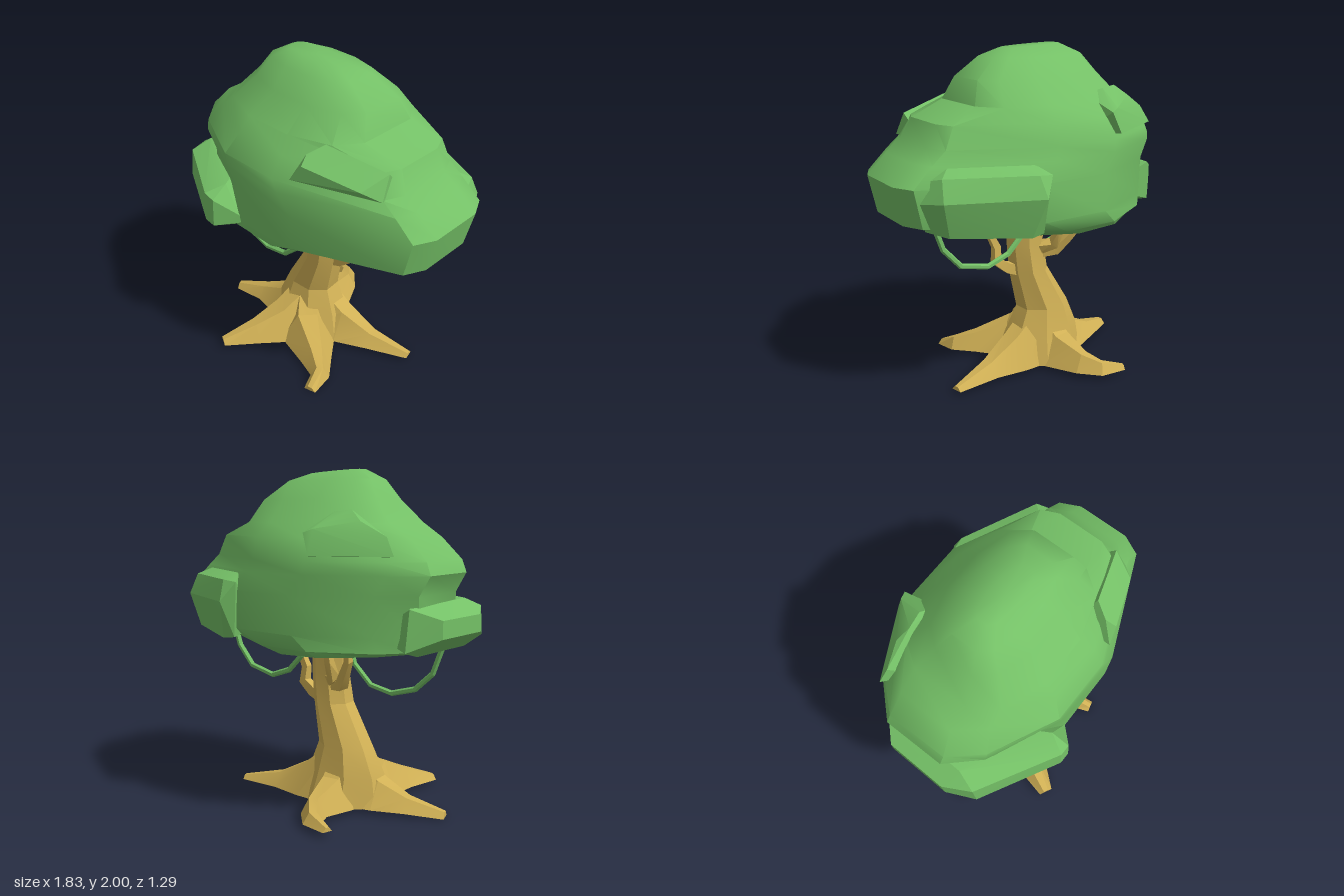
import * as THREE from 'three';
import { toCreasedNormals } from 'three/addons/utils/BufferGeometryUtils.js';
import { ConvexGeometry } from 'three/addons/geometries/ConvexGeometry.js';

const leaf = new THREE.MeshStandardMaterial({ color: 0x74c066 });
const wood = new THREE.MeshStandardMaterial({ color: 0xd0b055 });
const V = (x, y, z) => new THREE.Vector3(x, y, z);

// Skin a list of closed rings (equal point counts) and cap both ends
function loft(rings, crease) {
  const n = rings[0].length, pos = [], idx = [];
  rings.forEach(r => r.forEach(p => pos.push(p.x, p.y, p.z)));
  for (let i = 0; i < rings.length - 1; i++) {
    for (let j = 0; j < n; j++) {
      const a = i * n + j, b = i * n + (j + 1) % n;
      idx.push(a, a + n, b + n, a, b + n, b);
    }
  }
  [0, rings.length - 1].forEach((i, top) => {
    const c = V(0, 0, 0);
    rings[i].forEach(p => c.addScaledVector(p, 1 / n));
    const k = pos.length / 3;
    pos.push(c.x, c.y, c.z);
    for (let j = 0; j < n; j++) {
      const a = i * n + j, b = i * n + (j + 1) % n;
      if (top) idx.push(k, b, a); else idx.push(k, a, b);
    }
  });
  const g = new THREE.BufferGeometry();
  g.setAttribute('position', new THREE.Float32BufferAttribute(pos, 3));
  g.setIndex(idx);
  return toCreasedNormals(g, crease);
}

// Angular tube along a polyline, with a radius per point
function sweep(path, radius, sides) {
  const rings = path.map((p, i) => {
    const t = path[Math.min(i + 1, path.length - 1)].clone().sub(path[Math.max(i - 1, 0)]).normalize();
    const nrm = V(0, 0, 1).addScaledVector(t, -t.z).normalize();
    const bin = nrm.clone().cross(t);
    return Array.from({ length: sides }, (_, j) => {
      const a = (j + 0.5) / sides * Math.PI * 2;
      return p.clone().addScaledVector(nrm, Math.cos(a) * radius(i)).addScaledVector(bin, Math.sin(a) * radius(i));
    });
  });
  return loft(rings, 0.3);
}

// Root: tapering ridge from the trunk foot out along the ground
function root(points) {
  const rings = points.map(([x, z, half, h, floor], i) => {
    const a = points[Math.max(i - 1, 0)], b = points[Math.min(i + 1, points.length - 1)];
    const t = V(b[0] - a[0], 0, b[1] - a[1]).normalize();
    const side = V(0, 1, 0).cross(t);
    return [[0.35, h], [1, floor], [-1, floor], [-0.35, h]]
      .map(([s, y]) => V(x, y, z).addScaledVector(side, s * half));
  });
  return loft(rings, 0.25);
}

// Mirror half an outline in z to close it
const mirrored = half => [...half, ...half.map(([x, z]) => [x, -z]).reverse()];

export function createModel() {
  const tree = new THREE.Group();
  const add = (name, geometry, material) => {
    const m = new THREE.Mesh(geometry, material);
    m.name = name;
    tree.add(m);
  };

  // Crown: stacked twelve-sided sections [y, left x, right x, back z, front z],
  // chamfered below and rounder in the dome
  const lower = mirrored([[1, 0.3], [0.93, 0.52], [0.2, 1], [-0.3, 1], [-0.8, 0.66], [-1, 0.34]]);
  const dome = mirrored([[1, 0.46], [0.8, 0.8], [0.3, 1], [-0.3, 1], [-0.8, 0.78], [-1, 0.42]]);
  const sections = [
    [0.98, -0.7, 0.34, -0.5, 0.44], [1.02, -0.77, 0.58, -0.54, 0.51],
    [1.1, -0.79, 0.86, -0.56, 0.53], [1.32, -0.79, 0.91, -0.57, 0.53],
    [1.43, -0.85, 0.79, -0.55, 0.53], [1.5, -0.82, 0.7, -0.54, 0.53],
    [1.62, -0.71, 0.64, -0.5, 0.46], [1.7, -0.58, 0.42, -0.42, 0.385],
    [1.83, -0.46, 0.37, -0.3, 0.26], [1.94, -0.38, 0.23, -0.19, 0.17], [2.0, -0.26, 0.11, -0.07, 0.08],
  ];
  const crownRings = sections.map(([y, x0, x1, z0, z1], i) => (i < 7 ? lower : dome).map(([u, v]) => {
    const tilt = i === 0 ? -0.02 * u : i === 10 ? -0.008 * (u + 1) : 0;
    return V((x0 + x1) / 2 + u * (x1 - x0) / 2, y + tilt, (z0 + z1) / 2 + v * (z1 - z0) / 2);
  }));
  add('crown', loft(crownRings, 0.66), leaf);

  // Leaf clumps pushing out of the crown
  const clumps = {
    frontLowerClump: [
      [-0.78, 1.0, -0.2], [-0.79, 1.0, 0.28], [-0.38, 1.02, 0.59], [-0.22, 1.04, 0.5], [-0.77, 1.03, -0.3],
      [-0.91, 1.1, -0.16], [-0.92, 1.1, 0.23], [-0.84, 1.06, 0.39], [-0.38, 1.06, 0.64], [-0.31, 1.05, 0.64], [-0.2, 1.07, 0.53],
      [-0.91, 1.2, -0.16], [-0.92, 1.2, 0.21], [-0.84, 1.23, 0.37], [-0.38, 1.24, 0.63], [-0.31, 1.22, 0.63], [-0.2, 1.12, 0.53],
      [-0.78, 1.26, -0.28], [-0.8, 1.28, 0.25], [-0.32, 1.28, 0.52], [-0.3, 1.1, 0.2], [-0.5, 1.1, -0.2]],
    backLowerClump: [
      [0.22, 1.05, -0.57], [0.3, 1.04, -0.58], [0.7, 1.06, -0.4], [0.78, 1.08, -0.28],
      [0.25, 1.26, -0.65], [0.75, 1.26, -0.44], [0.83, 1.24, -0.29],
      [0.18, 1.37, -0.59], [0.27, 1.38, -0.6], [0.73, 1.38, -0.39], [0.78, 1.35, -0.27],
      [0.24, 1.42, -0.5], [0.66, 1.42, -0.32], [0.3, 1.1, -0.2]],
    frontUpperClump: [
      [0.2, 1.53, 0.5], [0.27, 1.63, 0.48], [0.58, 1.56, 0.37], [0.66, 1.5, 0.29],
      [0.25, 1.67, 0.42], [0.3, 1.71, 0.33], [0.64, 1.63, 0.22], [0.2, 1.53, 0.25], [0.6, 1.5, 0.1]],
    backUpperClump: [
      [-0.32, 1.53, -0.55], [-0.72, 1.53, -0.34], [-0.27, 1.65, -0.53], [-0.32, 1.67, -0.51],
      [-0.52, 1.71, -0.36], [-0.66, 1.63, -0.32], [-0.44, 1.77, -0.33], [-0.34, 1.76, -0.35],
      [-0.25, 1.73, -0.3], [-0.2, 1.5, -0.3], [-0.55, 1.52, -0.2]],
  };
  for (const [name, pts] of Object.entries(clumps)) {
    add(name, toCreasedNormals(new ConvexGeometry(pts.map(p => V(...p))), 0.4), leaf);
  }

  // Leaning trunk: eight-sided sections [y, centre x, centre z, radius x, radius z]
  const trunk = [
    [0.03, -0.15, 0, 0.29, 0.25], [0.2, -0.16, -0.01, 0.25, 0.19], [0.37, -0.16, -0.02, 0.175, 0.145],
    [0.62, -0.06, -0.01, 0.125, 0.12], [0.8, -0.035, -0.01, 0.118, 0.11], [1.05, -0.045, -0.01, 0.125, 0.105],
  ].map(([y, cx, cz, rx, rz]) => Array.from({ length: 8 }, (_, j) => {
    const a = (j + 0.4) / 8 * Math.PI * 2;
    return V(cx + Math.cos(a) * rx, y, cz + Math.sin(a) * rz);
  }));
  add('trunk', loft(trunk, 0.25), wood);

  // Five roots: stations of [x, z, half width, ridge height, floor]
  const roots = [
    [[-0.14, 0, 0.18, 0.38, 0.03], [-0.4, 0.03, 0.15, 0.18, 0.03], [-0.57, 0.06, 0.09, 0.1, 0.025], [-0.78, 0.13, 0.04, 0.04, 0.005]],
    [[-0.17, 0, 0.18, 0.38, 0.03], [-0.23, 0.23, 0.17, 0.22, 0.03], [-0.3, 0.4, 0.1, 0.14, 0.03], [-0.4, 0.6, 0.045, 0.06, 0.03]],
    [[-0.16, 0, 0.2, 0.4, 0.03], [-0.03, 0.17, 0.18, 0.22, 0.03], [0.16, 0.28, 0.1, 0.13, 0.025], [0.27, 0.36, 0.06, 0.09, 0.015], [0.3, 0.48, 0.04, 0.03, 0.003]],
    [[-0.16, -0.02, 0.18, 0.42, 0.03], [0.1, -0.06, 0.15, 0.215, 0.03], [0.3, -0.1, 0.09, 0.11, 0.03], [0.56, -0.17, 0.035, 0.05, 0.025]],
    [[-0.16, 0, 0.18, 0.38, 0.03], [-0.19, -0.2, 0.15, 0.2, 0.03], [-0.22, -0.39, 0.08, 0.14, 0.035], [-0.29, -0.48, 0.06, 0.1, 0.035], [-0.43, -0.52, 0.03, 0.06, 0.035]],
  ];
  roots.forEach((r, i) => add('root' + (i + 1), root(r), wood));

  // Small branches reaching up into the crown
  const branches = [
    [[0.02, 0.63, -0.01], [0.1, 0.655, -0.01], [0.175, 0.71, -0.01], [0.17, 0.8, 0], [0.22, 0.9, 0], [0.22, 1.05, 0]],
    [[-0.1, 0.74, -0.06], [-0.2, 0.75, -0.11], [-0.25, 0.82, -0.15], [-0.32, 0.92, -0.2], [-0.32, 1.05, -0.22]],
    [[-0.08, 0.76, -0.06], [-0.16, 0.8, -0.14], [-0.17, 0.9, -0.19], [-0.16, 1.05, -0.21]],
  ];
  branches.forEach((b, i) => add('branch' + (i + 1),
    sweep(b.map(p => V(...p)), k => 0.05 - 0.031 * k / (b.length - 1), 4), wood));

  // Hanging vines
  const vines = [
    [0.22, [[-0.7, 1.03], [-0.62, 0.82], [-0.5, 0.71], [-0.33, 0.66], [-0.17, 0.69], [-0.04, 0.81], [0.02, 1.03]]],
    [-0.15, [[0.03, 1.03], [0.08, 0.9], [0.18, 0.8], [0.32, 0.75], [0.5, 0.79], [0.61, 0.91], [0.67, 1.08]]],
  ];
  vines.forEach(([z, pts], i) => add('vine' + (i + 1), sweep(pts.map(([x, y]) => V(x, y, z)), () => 0.018, 6), leaf));

  return tree;
}
